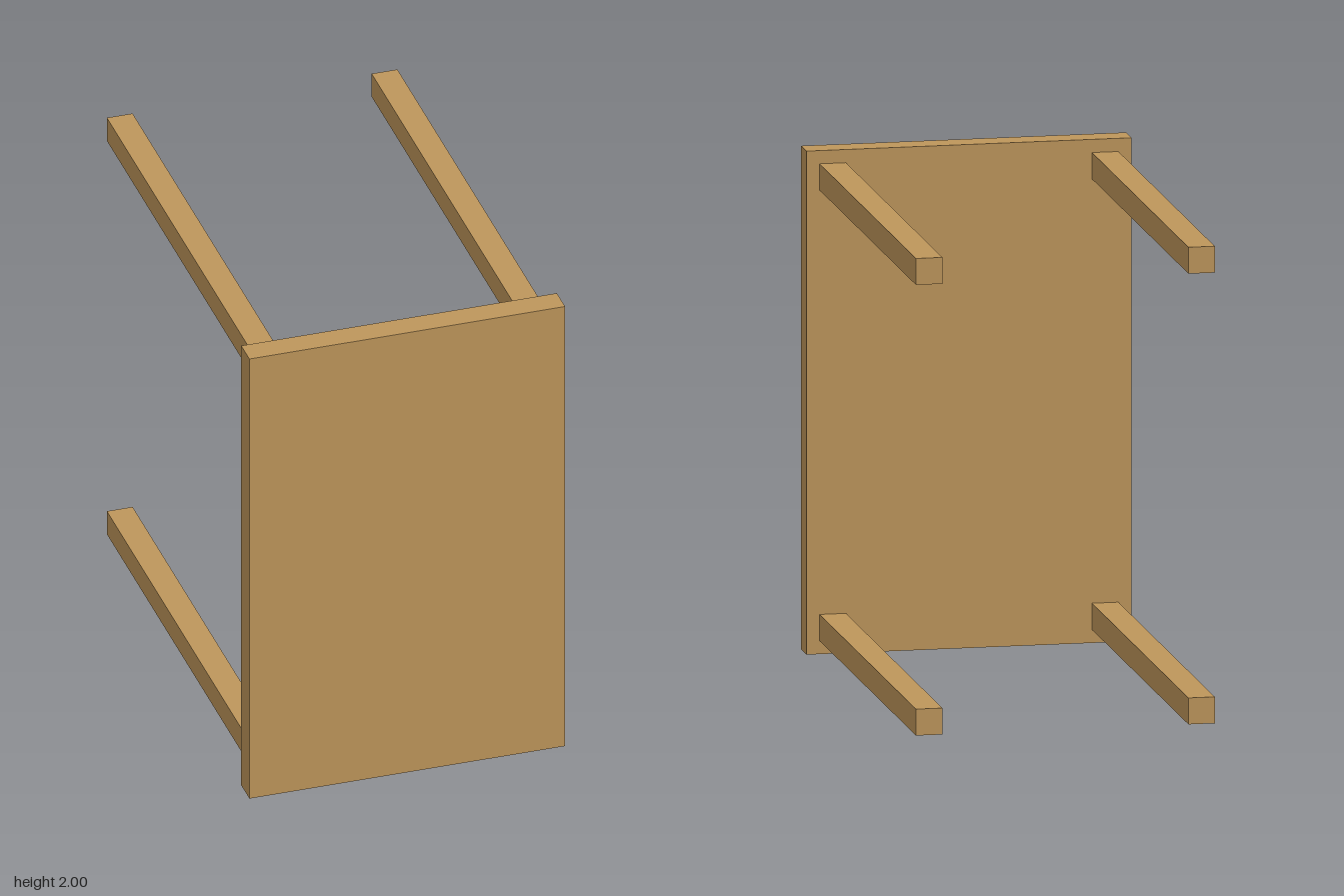
import * as THREE from 'three';

export function createModel() {
  const model = new THREE.Group();
  model.name = 'table';
  const wood = new THREE.MeshStandardMaterial({ color: 0xbe965b });
  wood.name = 'wood';

  const addBox = (name, [w, h, d], [x, y, z]) => {
    const mesh = new THREE.Mesh(new THREE.BoxGeometry(w, h, d), wood);
    mesh.name = name;
    mesh.position.set(x, y, z);
    model.add(mesh);
  };

  const half = 0.988; // half the depth
  const thick = 0.105; // board thickness and leg width
  const legLength = 2 * half - thick;

  // Table top, standing upright at the front
  addBox('tableTop', [1.29, 2, thick], [0, 1, half - thick / 2]);

  // Four square legs reaching back from the top
  for (const [side, sx] of [['left', 1], ['right', -1]]) {
    for (const [level, sy] of [['Upper', 1], ['Lower', -1]]) {
      addBox(`${side}${level}Leg`, [thick, thick, legLength],
        [sx * 0.541, 1 + sy * 0.895, -thick / 2]);
    }
  }
  return model;
}
